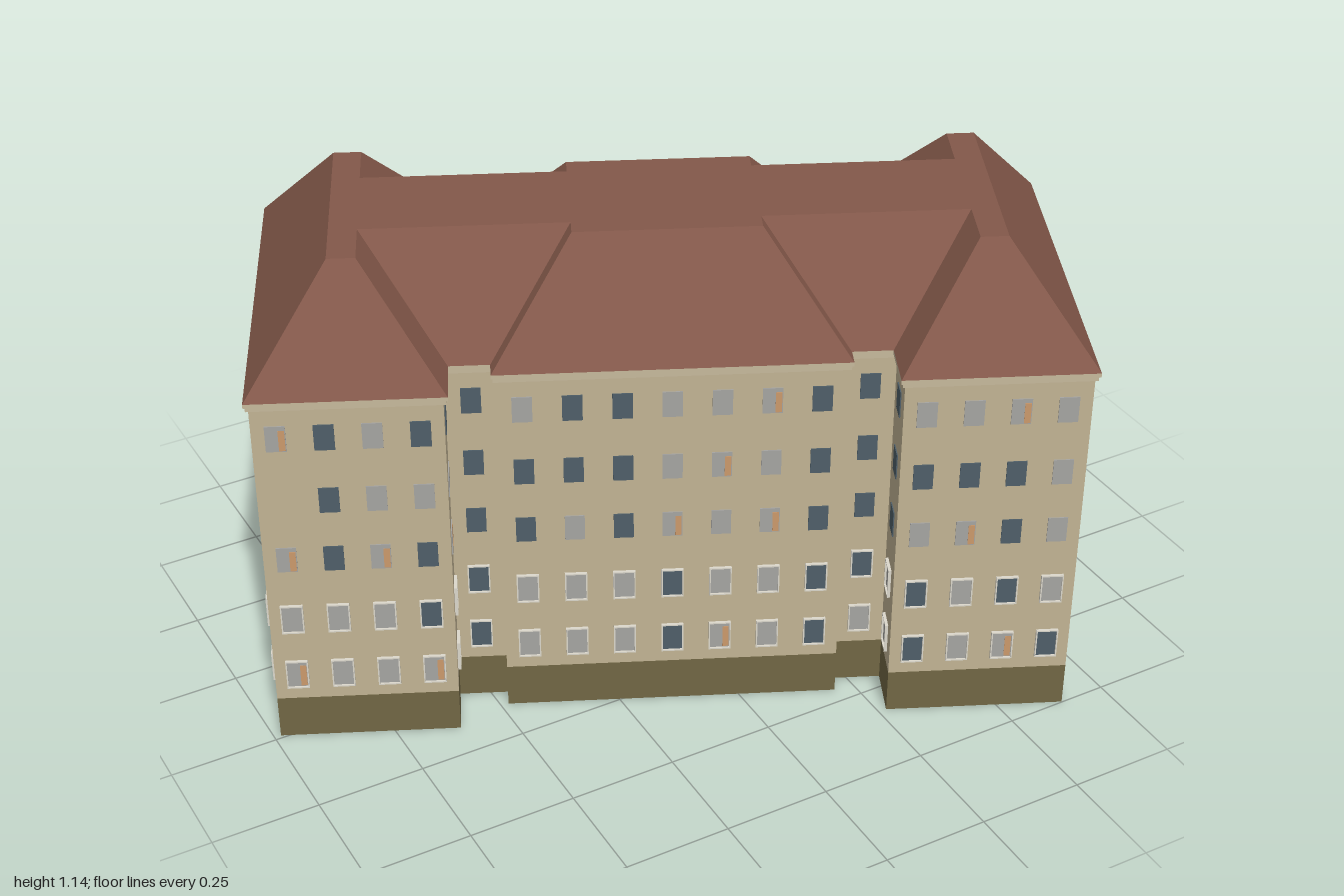
import * as THREE from 'three';
import { mergeGeometries } from 'three/addons/utils/BufferGeometryUtils.js';

const paint = (name, color, side = THREE.FrontSide) => {
  const m = new THREE.MeshStandardMaterial({ color, side });
  m.name = name;
  return m;
};

// H-shaped footprint, pushed outward by d; one quarter mirrored four times
function plan(d) {
  const quarter = [
    [0.378 + d, 0.33 + d], [0.378 + d, 0.287 + d], [0.488 - d, 0.287 + d],
    [0.488 - d, 0.408 + d], [0.896 + d, 0.408 + d],
  ];
  const mirror = (su, sv) => quarter.map(([u, v]) => [u * su, v * sv]);
  return [...mirror(1, 1), ...mirror(1, -1).reverse(), ...mirror(-1, -1), ...mirror(-1, 1).reverse()];
}

// Ring of flat faces between two outlines of the footprint
function band(y0, d0, y1, d1) {
  const low = plan(d0), high = plan(d1), pos = [];
  low.forEach((_, i) => {
    const j = (i + 1) % low.length;
    const a = [low[i][0], y0, low[i][1]], b = [low[j][0], y0, low[j][1]];
    const c = [high[j][0], y1, high[j][1]], e = [high[i][0], y1, high[i][1]];
    pos.push(...a, ...b, ...c, ...a, ...c, ...e);
  });
  const g = new THREE.BufferGeometry();
  g.setAttribute('position', new THREE.Float32BufferAttribute(pos, 3));
  g.computeVertexNormals();
  return g;
}

// Window surround with open centre
function frameGeometry(w, h, t, depth) {
  const rect = (P, a, b) => new P([[-a, -b], [a, -b], [a, b], [-a, b]].map(([x, y]) => new THREE.Vector2(x, y)));
  const s = rect(THREE.Shape, w / 2, h / 2);
  s.holes.push(rect(THREE.Path, w / 2 - t, h / 2 - t));
  return new THREE.ExtrudeGeometry(s, { depth, bevelEnabled: false }).translate(0, 0, -depth / 2);
}

// Window kinds per wall, bottom floor first: D dark, G blind, O curtain, _ none
const KINDS = {
  15: ['OGGO', 'GGGD', 'ODOD', '_DGG', 'ODGD'],
  17: ['D', 'D', 'D', 'D', 'D'],
  19: ['GGGDOGD', 'GGGDGGD', 'DGDOGOD', 'DDDGOGD', 'GDDGGOD'],
  3: ['DGOD', 'DGDG', 'GODG', 'DDDG', 'GGOG'],
  4: ['GOGDDGGD', 'GDDDGGDG', 'DDDDDDDD', '_DGODOGD', 'OOODOGGD'],
};
const MIX = 'DGDODGDDGDOG';
const FLOORS = [0.178, 0.333, 0.495, 0.65, 0.812];

export function createModel() {
  const wall = paint('wall plaster', 0xc2b494, THREE.DoubleSide);
  const plinth = paint('plinth stone', 0x716744, THREE.DoubleSide);
  const trim = paint('cornice', 0xc6b99c, THREE.DoubleSide);
  const tile = paint('roof tile', 0x83584a, THREE.DoubleSide);
  const glass = paint('dark glass', 0x4f5f69);
  const blind = paint('grey blind', 0xa6a5a2);
  const curtain = paint('orange curtain', 0xcb9a6c);
  const white = paint('window frame', 0xdcd8cc);

  const model = new THREE.Group();
  const building = new THREE.Group();
  building.name = 'building';
  building.rotation.y = -THREE.MathUtils.degToRad(25);
  model.add(building);
  const add = (name, geometry, material) => {
    const m = new THREE.Mesh(geometry, material);
    m.name = name;
    building.add(m);
  };

  // Shell
  add('plinth', band(0, 0, 0.108, 0), plinth);
  add('walls', band(0.108, 0, 0.886, 0), wall);
  add('cornice', mergeGeometries([
    band(0.886, 0, 0.886, 0.006), band(0.886, 0.006, 0.897, 0.006),
    band(0.897, 0.006, 0.897, 0.01), band(0.897, 0.01, 0.907, 0.01),
  ]), trim);

  // Hipped roof with a flat deck
  add('roofSlopes', band(0.907, 0.01, 1.145, -0.173), tile);
  const deck = new THREE.Shape(plan(-0.173).map(([u, v]) => new THREE.Vector2(u, -v)));
  add('roofDeck', new THREE.ShapeGeometry(deck).rotateX(-Math.PI / 2).translate(0, 1.145, 0), tile);

  // Windows, evenly spaced along every wall
  const parts = { glass: [], blind: [], curtain: [], frame: [] };
  const outline = plan(0);
  outline.forEach(([u0, v0], e) => {
    const [u1, v1] = outline[(e + 1) % outline.length];
    const length = Math.hypot(u1 - u0, v1 - v0);
    const count = Math.round(length / 0.105);
    const turn = Math.atan2(-(v1 - v0), u1 - u0);
    FLOORS.forEach((y, f) => {
      for (let i = 0; i < count; i++) {
        const kind = KINDS[e] ? KINDS[e][f][i] : MIX[(e * 5 + f * 7 + i * (f + 1)) % MIX.length];
        if (kind === '_') continue;
        const t = (i + 0.5) / count;
        const place = (g) => g.rotateY(turn).translate(u0 + (u1 - u0) * t, y, v0 + (v1 - v0) * t);
        const framed = f < 2;
        const w = framed ? 0.045 : 0.044, h = framed ? 0.07 : 0.064;
        parts[kind === 'D' ? 'glass' : 'blind'].push(place(new THREE.BoxGeometry(w, h, 0.005)));
        if (kind === 'O') {
          parts.curtain.push(place(new THREE.BoxGeometry(0.014, h * 0.8, 0.007).translate(w / 2 - 0.009, -0.004, 0)));
        }
        if (framed) parts.frame.push(place(frameGeometry(w + 0.005, h + 0.005, 0.003, 0.014)));
      }
    });
  });
  add('windowGlass', mergeGeometries(parts.glass), glass);
  add('windowBlinds', mergeGeometries(parts.blind), blind);
  add('windowCurtains', mergeGeometries(parts.curtain), curtain);
  add('windowFrames', mergeGeometries(parts.frame), white);

  return model;
}
